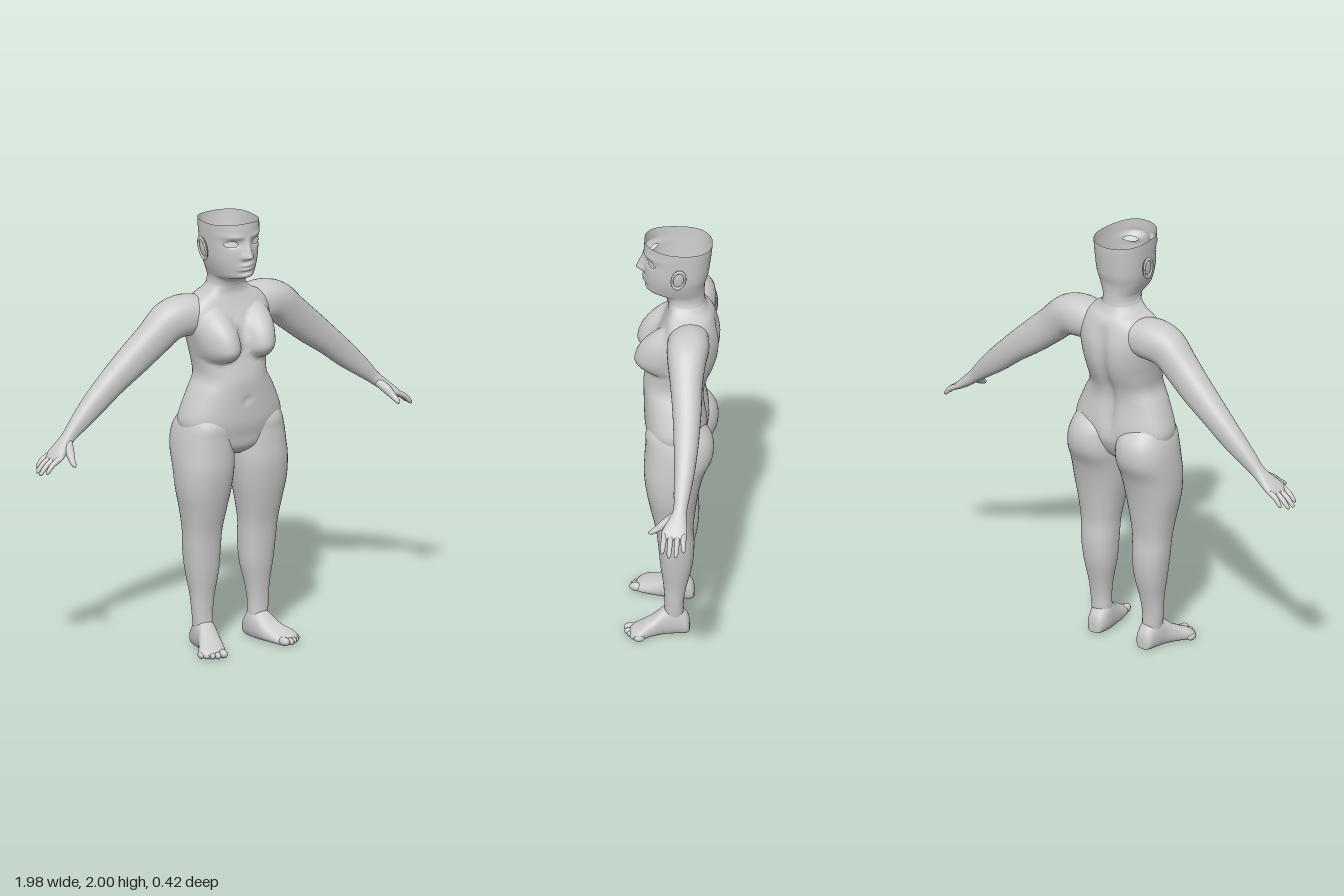
import * as THREE from 'three';

const skin = new THREE.MeshStandardMaterial({ color: 0xcccccc, side: THREE.DoubleSide });
const gauss = (v, w) => Math.exp(-(v * v) / (w * w));
const smooth = THREE.MathUtils.smoothstep;

// Smooth in-between rows through a short list of cross-sections
function refine(rows, steps) {
  const out = [], n = rows.length - 1;
  for (let i = 0; i < n; i++) {
    const [a, b, c, d] = [rows[Math.max(i - 1, 0)], rows[i], rows[i + 1], rows[Math.min(i + 2, n)]];
    for (let k = 0; k < steps; k++) {
      const t = k / steps;
      out.push(b.map((_, j) => 0.5 * (2 * b[j] + (c[j] - a[j]) * t
        + (2 * a[j] - 5 * b[j] + 4 * c[j] - d[j]) * t * t
        + (3 * b[j] - a[j] - 3 * c[j] + d[j]) * t * t * t)));
    }
  }
  out.push(rows[n]);
  return out;
}

// Skin a closed ring over every row; ring(row, cos, sin) gives a point
function loft(rows, { sides = 32, steps = 5, ring, caps = [true, true], skip }) {
  const list = refine(rows, steps), pos = [], index = [], power = 0.88;
  const soft = v => Math.sign(v) * Math.abs(v) ** power;
  const pts = list.map(row => Array.from({ length: sides }, (_, j) => {
    const a = j / sides * Math.PI * 2;
    return ring(row, soft(Math.cos(a)), soft(Math.sin(a)));
  }));
  pts.flat().forEach(p => pos.push(...p));
  for (let i = 0; i < list.length - 1; i++) for (let j = 0; j < sides; j++) {
    const k = (j + 1) % sides;
    if (skip && [pts[i][j], pts[i][k], pts[i + 1][j], pts[i + 1][k]].every(skip)) continue;
    const a = i * sides + j, b = i * sides + k, c = a + sides, d = b + sides;
    index.push(a, c, b, b, c, d);
  }
  [0, list.length - 1].forEach((r, e) => {
    if (!caps[e]) return;
    const mid = [0, 1, 2].map(m => pts[r].reduce((s, p) => s + p[m], 0) / sides);
    const m = pos.length / 3;
    pos.push(...mid);
    for (let j = 0; j < sides; j++) {
      const a = r * sides + j, b = r * sides + (j + 1) % sides;
      index.push(...(e ? [m, b, a] : [m, a, b]));
    }
  });
  // Turn the faces outward, judged by the enclosed volume
  let volume = 0;
  const v = i => new THREE.Vector3().fromArray(pos, index[i] * 3);
  for (let i = 0; i < index.length; i += 3) volume += v(i).dot(v(i + 1).cross(v(i + 2)));
  if (volume < 0) index.reverse();
  const g = new THREE.BufferGeometry();
  g.setAttribute('position', new THREE.Float32BufferAttribute(pos, 3));
  g.setIndex(index);
  g.computeVertexNormals();
  return g;
}

function mirrored(g) {
  const m = g.clone().scale(-1, 1, 1);
  m.setIndex(Array.from(m.index.array).reverse());
  m.computeVertexNormals();
  return m;
}

// Level oval with its own depth to the front and to the back
const oval = (y, x, rx, front, back, zc, c, s) =>
  [x + rx * c, y, zc + s * (s > 0 ? front - zc : zc - back)];

// Round tapered finger: rows of x, y, z, radius
function finger(rows) {
  const a = new THREE.Vector3(...rows[0]), b = new THREE.Vector3(...rows[rows.length - 1]);
  const q = new THREE.Quaternion().setFromUnitVectors(new THREE.Vector3(0, 0, 1), b.sub(a).normalize());
  return loft(rows, {
    sides: 12, steps: 4,
    ring: ([x, y, z, r], c, s) => new THREE.Vector3(c * r, s * r, 0).applyQuaternion(q)
      .add(new THREE.Vector3(x, y, z)).toArray(),
  });
}

// Chest, spine groove and navel
function torsoRing([y, rx, front, back], c, s) {
  const p = oval(y, 0, rx, front, back, -0.03, c, s), ax = Math.abs(p[0]);
  if (s > 0) {
    const dx = (ax - 0.112) / 0.095, dy = (y - 1.425) / (y > 1.425 ? 0.16 : 0.078);
    p[2] += 0.085 * Math.max(0, 1 - dx * dx - dy * dy) ** 0.8;
    p[2] -= 0.012 * gauss(ax, 0.012) * gauss(y - 1.17, 0.014);
  } else {
    p[2] += 0.022 * gauss(ax, 0.03) * smooth(y, 1.0, 1.12) * (1 - smooth(y, 1.5, 1.62));
  }
  return p;
}

// Face relief: brow, sockets, nose, lips and chin, with open eyes
const eyeDistance = (x, y) => Math.hypot((Math.abs(x) - 0.066) / 0.028, (y - 1.903) / 0.013);
function headRing([y, rx, front, back], c, s) {
  const p = oval(y, 0, rx, front, back, -0.04, c, s), ax = Math.abs(p[0]);
  if (s > 0.2) {
    const t = (1.94 - y) / 0.095;
    const nose = t < 0 ? 0 : t < 1 ? t : 1 - smooth(t, 1, 1.22);
    p[2] += 0.04 * nose * gauss(ax, 0.011 + 0.009 * Math.min(Math.max(t, 0), 1));
    p[2] += 0.008 * nose * gauss(ax - 0.02, 0.009) * smooth(t, 0.7, 1);
    p[2] -= 0.014 * gauss(ax - 0.06, 0.035) * gauss(y - 1.907, 0.02);
    p[2] += 0.006 * gauss(ax - 0.06, 0.045) * gauss(y - 1.938, 0.012);
    p[2] += gauss(ax, 0.03) * (0.013 * gauss(y - 1.804, 0.008) + 0.013 * gauss(y - 1.785, 0.008));
    p[2] -= 0.006 * gauss(ax, 0.03) * gauss(y - 1.768, 0.008);
    p[2] += 0.006 * gauss(ax, 0.03) * gauss(y - 1.75, 0.012);
    const d = Math.max(eyeDistance(p[0], y), 0.01);
    if (d < 1) {
      p[0] = Math.sign(p[0]) * (0.066 + (ax - 0.066) / d);
      p[1] = 1.903 + (y - 1.903) / d;
    }
  }
  // Wavy cut rim
  p[1] += 0.016 * smooth(y, 1.95, 1.985) * (s > 0 ? s * s : -0.4 * s * s);
  return p;
}

export function createModel() {
  const model = new THREE.Group();
  const add = (name, g) => {
    const m = new THREE.Mesh(g, skin);
    m.name = name;
    model.add(m);
  };
  const pair = (name, g) => {
    add('left' + name, g);
    add('right' + name, mirrored(g));
  };

  // Torso rows: y, half width, front, back
  add('torso', loft([
    [0.90, 0.08, 0.05, -0.07], [0.94, 0.17, 0.10, -0.12], [1.0, 0.235, 0.115, -0.15],
    [1.05, 0.25, 0.126, -0.157], [1.1, 0.247, 0.13, -0.155], [1.2, 0.205, 0.133, -0.142],
    [1.27, 0.168, 0.133, -0.152], [1.35, 0.172, 0.115, -0.185], [1.42, 0.185, 0.10, -0.205],
    [1.5, 0.20, 0.08, -0.21], [1.57, 0.205, 0.05, -0.195], [1.62, 0.165, 0.03, -0.178],
    [1.65, 0.115, 0.022, -0.155], [1.68, 0.085, 0.025, -0.142], [1.70, 0.08, 0.032, -0.14],
  ], { sides: 80, steps: 6, ring: torsoRing, caps: [true, false] }));

  // Hollow head, open at the crown
  add('head', loft([
    [1.68, 0.085, 0.025, -0.142], [1.70, 0.08, 0.032, -0.14], [1.722, 0.081, 0.055, -0.139],
    [1.742, 0.088, 0.115, -0.139], [1.78, 0.102, 0.126, -0.143], [1.83, 0.114, 0.13, -0.157],
    [1.90, 0.12, 0.13, -0.167], [1.95, 0.123, 0.132, -0.173], [1.985, 0.124, 0.13, -0.175],
  ], {
    sides: 120, steps: 10, ring: headRing, caps: [false, false],
    skip: p => p[2] > 0 && eyeDistance(p[0], p[1]) < 1.001,
  }));

  // Ears: thin shell with a raised rim
  const place = g => g.rotateX(-0.2).rotateZ(-0.12).translate(0.128, 1.865, -0.032);
  pair('Ear', place(new THREE.SphereGeometry(1, 20, 14).scale(0.011, 0.05, 0.028)));
  pair('EarRim', place(new THREE.TorusGeometry(0.03, 0.006, 8, 28).rotateY(Math.PI / 2).scale(1, 1.6, 0.95).translate(0.007, 0, 0)));

  // Arm and palm rows: x, y, z, thickness, depth, downward angle
  pair('Arm', loft([
    [0.10, 1.545, -0.08, 0.08, 0.085, 0], [0.20, 1.55, -0.08, 0.094, 0.095, 10],
    [0.29, 1.53, -0.08, 0.09, 0.086, 25], [0.37, 1.46, -0.085, 0.082, 0.073, 40],
    [0.47, 1.375, -0.095, 0.076, 0.065, 42], [0.58, 1.285, -0.1, 0.064, 0.056, 42],
    [0.67, 1.205, -0.1, 0.056, 0.047, 43], [0.75, 1.135, -0.095, 0.043, 0.038, 43],
    [0.81, 1.08, -0.09, 0.030, 0.031, 42], [0.85, 1.045, -0.08, 0.026, 0.043, 42],
    [0.89, 1.013, -0.07, 0.021, 0.057, 42], [0.918, 0.991, -0.07, 0.012, 0.053, 42],
  ], {
    sides: 32, steps: 5,
    ring: ([x, y, z, r, rz, deg], c, s) => {
      const a = deg * Math.PI / 180;
      return [x + Math.sin(a) * r * c, y + Math.cos(a) * r * c, z + rz * s];
    },
  }));

  // Fingers: base z, tip x, y, z
  [[-0.027, 0.972, 0.948, -0.022], [-0.056, 0.988, 0.938, -0.052],
    [-0.085, 0.985, 0.94, -0.084], [-0.112, 0.965, 0.953, -0.116]].forEach(([z, tx, ty, tz], i) => {
    pair('Finger' + (i + 1), finger([
      [0.895, 1.008, z, 0.013], [(0.895 + tx) / 2 + 0.004, (1.008 + ty) / 2 + 0.006, (z + tz) / 2, 0.012],
      [tx - 0.008, ty + 0.008, tz, 0.009], [tx, ty, tz, 0.003],
    ]));
  });
  pair('Thumb', finger([[0.825, 1.058, -0.07, 0.02], [0.845, 1.03, -0.025, 0.02],
    [0.857, 1.003, 0.012, 0.014], [0.862, 0.988, 0.038, 0.01], [0.862, 0.982, 0.047, 0.003]]));

  // Leg rows: y, inner x, outer x, front, back
  pair('Leg', loft([
    [1.13, 0.05, 0.21, 0.07, -0.10], [1.06, 0.017, 0.245, 0.112, -0.168], [1.0, 0.008, 0.263, 0.116, -0.19],
    [0.93, 0.004, 0.272, 0.12, -0.185], [0.85, 0.008, 0.276, 0.122, -0.15], [0.75, 0.022, 0.271, 0.11, -0.125],
    [0.65, 0.042, 0.252, 0.09, -0.11], [0.55, 0.058, 0.237, 0.068, -0.10], [0.45, 0.062, 0.23, 0.057, -0.104],
    [0.35, 0.07, 0.218, 0.048, -0.095], [0.25, 0.09, 0.202, 0.035, -0.072], [0.17, 0.1, 0.196, 0.03, -0.058],
    [0.1, 0.1, 0.19, 0.03, -0.055], [0.05, 0.11, 0.18, 0.02, -0.05],
  ], {
    sides: 40, steps: 5,
    ring: ([y, xi, xo, f, b], c, s) => oval(y, (xi + xo) / 2, (xo - xi) / 2, f, b, (f + b) / 2, c, s),
  }));

  // Foot rows: z, x, half width, top; the sole is flattened
  pair('Foot', loft([
    [-0.083, 0.14, 0.02, 0.05], [-0.07, 0.14, 0.04, 0.09], [-0.02, 0.142, 0.05, 0.145],
    [0.03, 0.15, 0.052, 0.125], [0.08, 0.167, 0.06, 0.085], [0.13, 0.19, 0.068, 0.058],
    [0.165, 0.193, 0.055, 0.042], [0.18, 0.188, 0.035, 0.032],
  ], {
    sides: 32, steps: 5,
    ring: ([z, x, w, h], c, s) => [x + w * c, Math.max(0.004, h * 0.4 + h * (s > 0 ? 0.6 : 0.5) * s), z],
  }));

  // Toes, from big to little
  [[0.163, 0.18, 0.02], [0.192, 0.182, 0.014], [0.214, 0.17, 0.013], [0.234, 0.154, 0.013], [0.251, 0.135, 0.013]]
    .forEach(([x, z, r], i) => pair('Toe' + (i + 1),
      new THREE.SphereGeometry(1, 14, 10).scale(r, r * 0.6 + 0.008, r + 0.012).rotateY(0.2).translate(x, r * 0.6 + 0.008, z)));
  return model;
}
